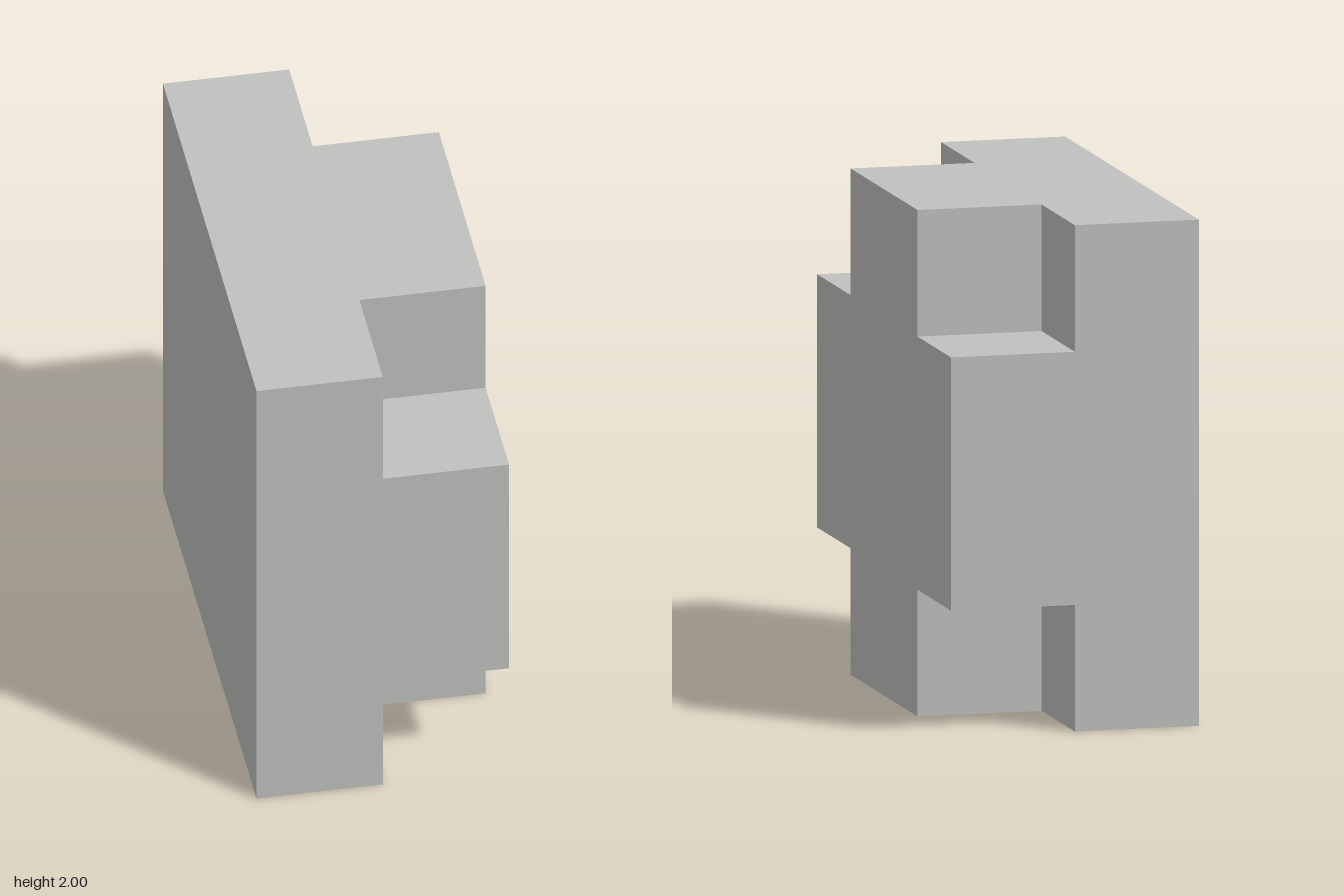
import * as THREE from 'three';
import { mergeGeometries } from 'three/addons/utils/BufferGeometryUtils.js';

const CELL = 0.5;
const SIZE = [2, 4, 4]; // cells along x, y, z

// Full slab on the -x half, cross with four missing corners on the +x half
function isSolid([i, j, k]) {
  if ([i, j, k].some((n, axis) => n < 0 || n >= SIZE[axis])) return false;
  const corner = (j === 0 || j === 3) && (k === 0 || k === 3);
  return i === 0 || !corner;
}

// One square facing along the given direction, on the side of a cell
function cellFace(cell, dir) {
  const normal = new THREE.Vector3(...dir);
  const turn = new THREE.Quaternion().setFromUnitVectors(new THREE.Vector3(0, 0, 1), normal);
  if (dir[2] === -1) turn.setFromAxisAngle(new THREE.Vector3(0, 1, 0), Math.PI);
  const centre = new THREE.Vector3(
    (cell[0] - 0.5) * CELL, (cell[1] + 0.5) * CELL, (cell[2] - 1.5) * CELL
  ).addScaledVector(normal, CELL / 2);
  return new THREE.PlaneGeometry(CELL, CELL)
    .applyQuaternion(turn)
    .translate(centre.x, centre.y, centre.z);
}

export function createModel() {
  const group = new THREE.Group();
  group.name = 'notchedBlock';

  const grey = new THREE.MeshStandardMaterial({ color: 0xc0c0be });
  grey.name = 'lightGrey';

  // Only the outer skin is built, so the block is one closed solid
  const directions = [[1, 0, 0], [-1, 0, 0], [0, 1, 0], [0, -1, 0], [0, 0, 1], [0, 0, -1]];
  const faces = [];
  for (let i = 0; i < SIZE[0]; i++)
    for (let j = 0; j < SIZE[1]; j++)
      for (let k = 0; k < SIZE[2]; k++) {
        const cell = [i, j, k];
        if (!isSolid(cell)) continue;
        for (const dir of directions)
          if (!isSolid(cell.map((n, axis) => n + dir[axis]))) faces.push(cellFace(cell, dir));
      }

  const block = new THREE.Mesh(mergeGeometries(faces), grey);
  block.name = 'slabWithCross';
  group.add(block);
  return group;
}
